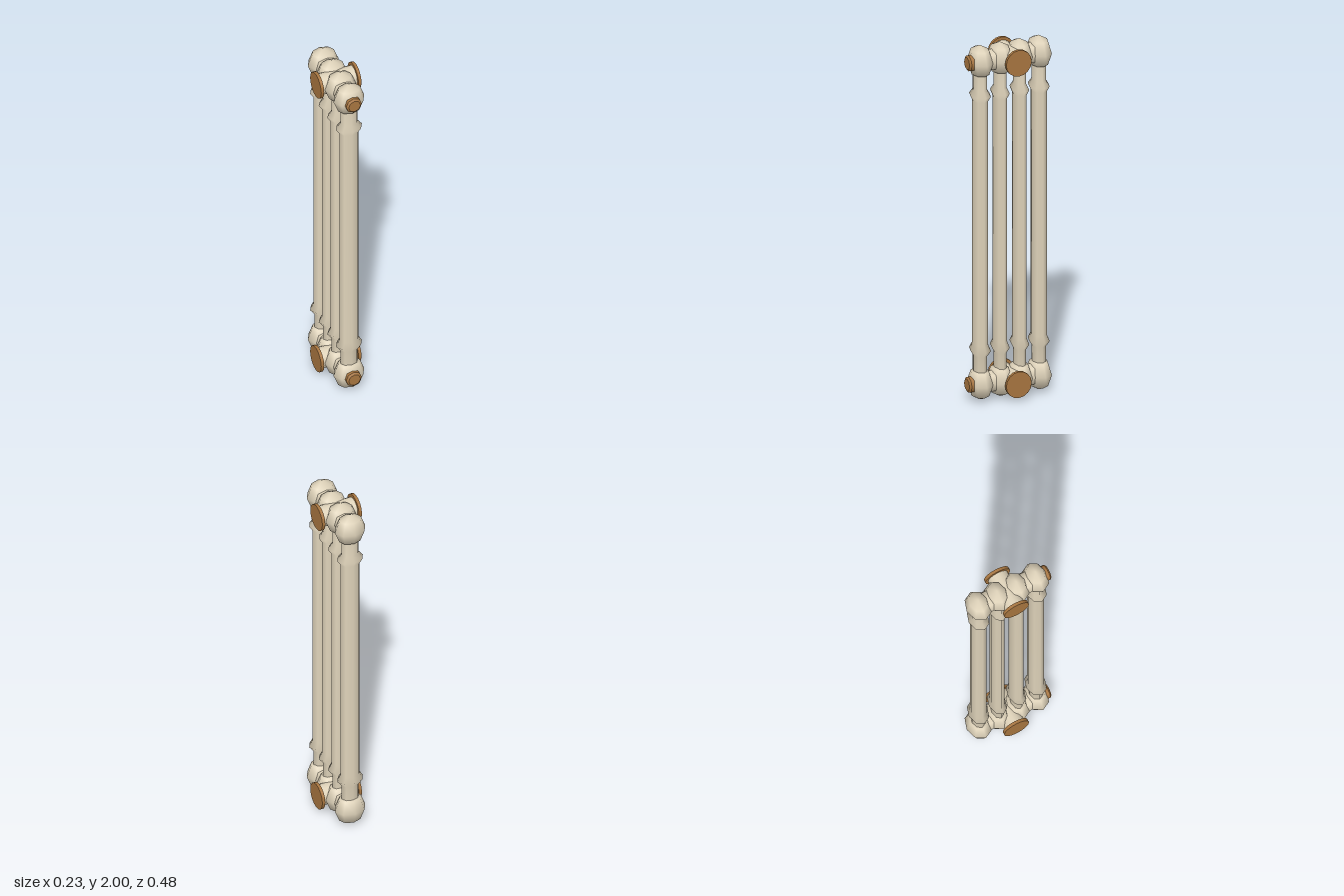
import * as THREE from 'three';

const cream = new THREE.MeshStandardMaterial({ color: 0xdfd3ba });
const brass = new THREE.MeshStandardMaterial({ color: 0xa87640 });

const TOP = 1.907, BOTTOM = 0.097; // heights of the two header rows
const MID_Z = -0.007;

function add(parent, name, geometry, material, x = 0, y = 0, z = 0) {
  const mesh = new THREE.Mesh(geometry, material);
  mesh.name = name;
  mesh.position.set(x, y, z);
  parent.add(mesh);
  return mesh;
}

// Column tube with a pointed collar near each end
function tubeGeometry(depthScale) {
  const points = [
    [0.049, BOTTOM], [0.049, 0.255], [0.074, 0.287], [0.055, 0.32],
    [0.055, 1.69], [0.074, 1.72], [0.049, 1.752], [0.049, TOP],
  ].map(([r, y]) => new THREE.Vector2(r, y));
  return new THREE.LatheGeometry(points, 8).scale(1, 1, depthScale);
}

export function createModel() {
  const model = new THREE.Group();
  model.name = 'radiatorSection';

  // Four columns, the inner pair slimmer in depth
  const columnZ = [0.165, 0.05, -0.063, -0.175];
  const ball = new THREE.SphereGeometry(1, 8, 4).scale(0.0875, 0.093, 0.067);
  columnZ.forEach((z, i) => {
    const column = new THREE.Group();
    column.name = 'column' + (i + 1);
    column.position.z = z;
    model.add(column);
    const inner = i === 1 || i === 2;
    add(column, 'tube', tubeGeometry(inner ? 0.63 : 0.74), cream);
    add(column, 'topBall', ball, cream, 0, TOP);
    add(column, 'bottomBall', ball, cream, 0, BOTTOM);
  });

  // Necks, cross pipe, end flanges and front plug of each header row
  const neck = new THREE.CylinderGeometry(0.06, 0.06, 0.113, 8, 1, true).rotateX(Math.PI / 2);
  const pipe = new THREE.CylinderGeometry(0.057, 0.057, 0.2, 16).rotateZ(Math.PI / 2);
  const flange = new THREE.CylinderGeometry(0.0735, 0.0735, 0.017, 16).rotateZ(Math.PI / 2);
  const plugBody = new THREE.CylinderGeometry(0.045, 0.045, 0.046, 8).rotateX(Math.PI / 2);
  const plugTip = new THREE.CylinderGeometry(0.034, 0.045, 0.009, 8).rotateX(Math.PI / 2);

  for (const [label, y] of [['top', TOP], ['bottom', BOTTOM]]) {
    const header = new THREE.Group();
    header.name = label + 'Header';
    header.position.y = y;
    model.add(header);
    add(header, 'frontNeck', neck, cream, 0, 0, 0.107);
    add(header, 'backNeck', neck, cream, 0, 0, -0.119);
    add(header, 'crossPipe', pipe, cream, 0, 0, MID_Z);
    for (const side of [1, -1]) {
      add(header, side > 0 ? 'leftFlange' : 'rightFlange', flange, brass, side * 0.1065, 0, MID_Z);
    }
    add(header, 'plugBody', plugBody, brass, 0, 0, 0.209);
    add(header, 'plugTip', plugTip, brass, 0, 0, 0.2365);
  }
  return model;
}
